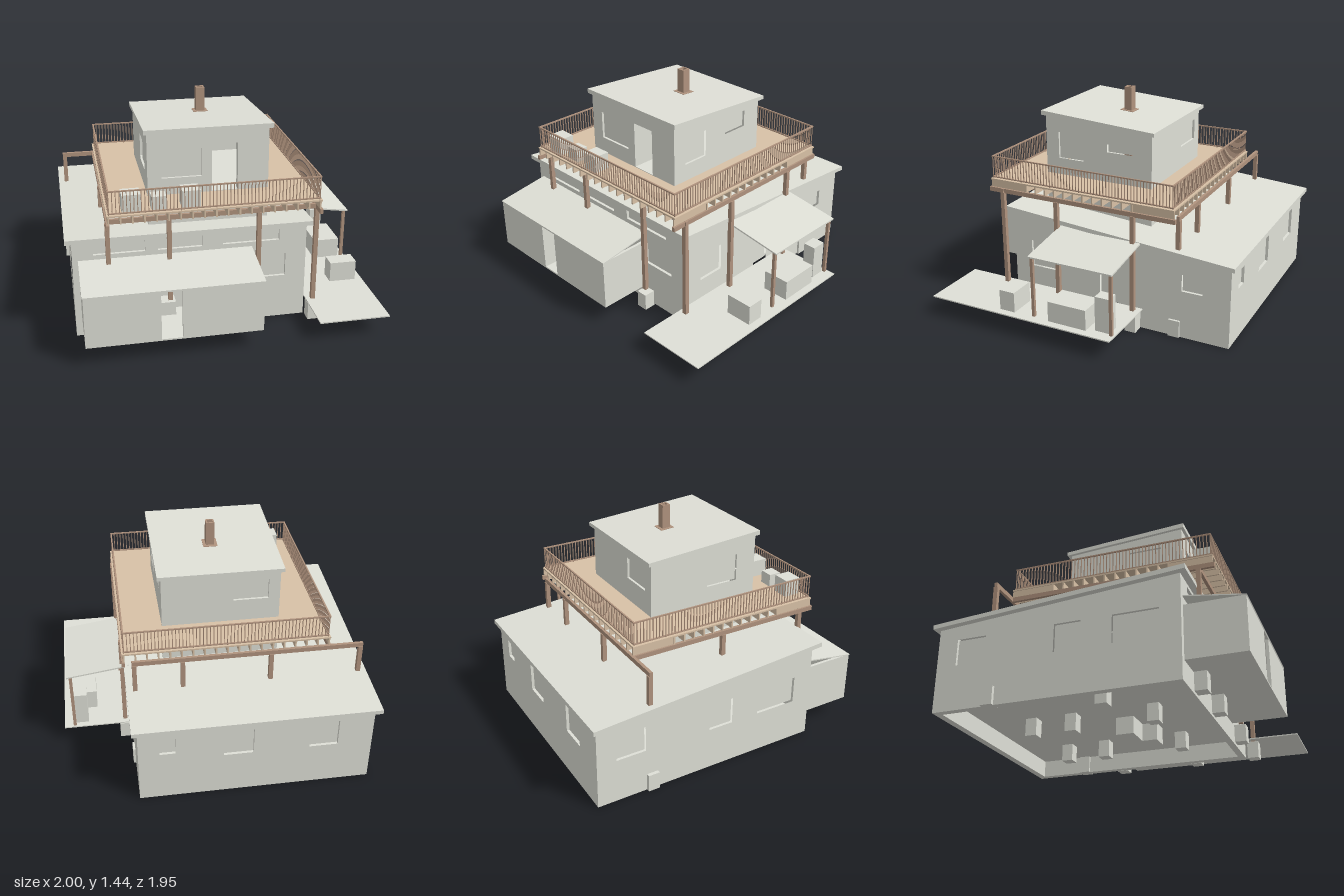
import * as THREE from 'three';

const grey = new THREE.MeshStandardMaterial({ color: 0xdedfd6 });
grey.name = 'pale plaster';
const wood = new THREE.MeshStandardMaterial({ color: 0xb0937e });
wood.name = 'brown timber';
const tan = new THREE.MeshStandardMaterial({ color: 0xd8c1a6 });
tan.name = 'deck boards';

// Box given by its minimum and maximum on each axis
function box(parent, name, mat, x0, x1, y0, y1, z0, z1) {
  const mesh = new THREE.Mesh(new THREE.BoxGeometry(x1 - x0, y1 - y0, z1 - z0), mat);
  mesh.position.set((x0 + x1) / 2, (y0 + y1) / 2, (z0 + z1) / 2);
  mesh.name = name;
  parent.add(mesh);
  return mesh;
}

function rectPath(x0, x1, y0, y1, Type = THREE.Path) {
  return new Type([[x0, y0], [x1, y0], [x1, y1], [x0, y1]].map(p => new THREE.Vector2(...p)));
}

// Profile extruded along z from 'at', or along x when side is true (points are then [z, y])
function slab(parent, name, mat, pts, at, depth, side = false, openings = []) {
  const s = side ? -1 : 1;
  const shape = new THREE.Shape(pts.map(([u, y]) => new THREE.Vector2(s * u, y)));
  for (const [u0, u1, y0, y1] of openings) shape.holes.push(rectPath(s * u0, s * u1, y0, y1));
  const mesh = new THREE.Mesh(new THREE.ExtrudeGeometry(shape, { depth, bevelEnabled: false }), mat);
  if (side) { mesh.rotation.y = Math.PI / 2; mesh.position.x = at; } else mesh.position.z = at;
  mesh.name = name;
  parent.add(mesh);
}

// Wall with cut openings; every opening not marked open gets a recessed pane
function wall(parent, name, pts, at, depth, side, openings = []) {
  slab(parent, name, grey, pts, at, depth, side, openings);
  const m = at + depth / 2;
  for (const [u0, u1, y0, y1, open] of openings) {
    if (open) continue;
    if (side) box(parent, name + 'Pane', grey, m - 0.004, m + 0.004, y0, y1, u0, u1);
    else box(parent, name + 'Pane', grey, u0, u1, y0, y1, m - 0.004, m + 0.004);
  }
}

// Four walls under a roof sloping from front to back
function house(parent, name, b, win) {
  const { x0, x1, z0, z1, y0, yBack, yFront, t } = b;
  const g = new THREE.Group();
  g.name = name;
  const flat = y => [[x0, y0], [x1, y0], [x1, y], [x0, y]];
  const gable = [[z0, y0], [z1, y0], [z1, yFront], [z0, yBack]];
  wall(g, 'frontWall', flat(yFront), z1 - t, t, false, win.front);
  wall(g, 'backWall', flat(yBack), z0, t, false, win.back);
  wall(g, 'rightWall', gable, x1 - t, t, true, win.right);
  wall(g, 'leftWall', gable, x0, t, true, win.left);
  parent.add(g);
  return g;
}

export function createModel() {
  const root = new THREE.Group();
  root.name = 'house';

  // Ground storey
  const low = house(root, 'groundStorey',
    { x0: -0.96, x1: 0.54, z0: -0.945, z1: 0.61, y0: 0, yBack: 0.542, yFront: 0.657, t: 0.045 }, {
      front: [[-0.83, -0.505, 0.56, 0.635], [-0.425, -0.14, 0.56, 0.635], [-0.01, 0.36, 0.56, 0.635], [0.17, 0.405, 0.3, 0.46]],
      back: [[0.305, 0.405, 0.355, 0.475], [-0.19, 0, 0.3, 0.49], [-0.735, -0.55, 0.3, 0.49]],
      right: [[0.29, 0.48, 0.275, 0.46], [-0.76, -0.62, 0.325, 0.44], [-0.175, -0.04, 0.135, 0.46]],
      left: [[-0.815, -0.62, 0.29, 0.46], [-0.17, 0, 0.28, 0.46], [0.195, 0.48, 0.28, 0.46]],
    });
  box(low, 'floor', grey, -0.92, 0.5, 0.115, 0.135, -0.905, 0.57);
  slab(low, 'roof', grey, [[-0.975, 0.54], [0.65, 0.66], [0.65, 0.69], [-0.975, 0.568]], -1, 1.575, true);

  // Upper storey, its door standing open
  const up = house(root, 'upperStorey',
    { x0: -0.465, x1: 0.31, z0: -0.3, z1: 0.48, y0: 0.6, yBack: 1.232, yFront: 1.28, t: 0.04 }, {
      front: [[-0.375, -0.12, 0.985, 1.17], [-0.055, 0.11, 0.88, 1.19, true]],
      back: [[-0.39, -0.16, 1.03, 1.17]],
      right: [[0.2, 0.385, 0.99, 1.17], [-0.165, 0.02, 1.08, 1.19]],
      left: [[0.115, 0.34, 0.99, 1.17]],
    });
  box(up, 'upperFloor', grey, -0.43, 0.275, 0.865, 0.878, -0.265, 0.445);
  box(up, 'upperDoor', grey, -0.063, -0.055, 0.88, 1.19, 0.275, 0.44);
  slab(up, 'upperRoof', grey, [[-0.325, 1.23], [0.5, 1.28], [0.5, 1.31], [-0.325, 1.255]], -0.485, 0.82, true);

  // Chimney with a hollow flue, flashing and foundation
  const flue = rectPath(-0.08, -0.025, -0.065, -0.01, THREE.Shape);
  flue.holes.push(rectPath(-0.07, -0.035, -0.055, -0.02));
  const chimney = new THREE.Mesh(new THREE.ExtrudeGeometry(flue, { depth: 1.305, bevelEnabled: false }), wood);
  chimney.rotation.x = -Math.PI / 2;
  chimney.position.y = 0.135;
  chimney.name = 'chimney';
  root.add(chimney);
  box(root, 'flueBase', wood, -0.071, -0.034, 1.39, 1.41, 0.019, 0.056);
  box(root, 'chimneyFlashing', wood, -0.1, -0.005, 1.27, 1.282, -0.01, 0.085).rotation.x = -0.067;
  box(root, 'chimneyFoundation', grey, -0.05, 0.07, 0, 0.115, -0.06, 0.16);
  box(root, 'chimneyFoundation', grey, -0.22, -0.05, 0, 0.115, -0.06, 0.06);

  // Front extension, hollow with an open door, an inner step and a lean-to roof
  const ext = new THREE.Group();
  ext.name = 'frontExtension';
  root.add(ext);
  const rect = (a, b) => [[a, 0.135], [b, 0.135], [b, 0.47], [a, 0.47]];
  wall(ext, 'extensionFront', rect(-0.92, 0.175), 0.955, 0.02, false, [[-0.46, -0.33, 0.14, 0.46, true]]);
  for (const x of [-0.92, 0.155]) wall(ext, 'extensionSide', rect(0.61, 0.955), x, 0.02, true);
  box(ext, 'extensionDoor', grey, -0.468, -0.46, 0.14, 0.46, 0.825, 0.955);
  box(ext, 'extensionFloor', grey, -0.92, 0.175, 0.13, 0.138, 0.61, 0.975);
  box(ext, 'extensionStep', grey, -0.46, -0.33, 0.135, 0.23, 0.61, 0.7);
  slab(ext, 'extensionRoof', grey, [[0.61, 0.522], [0.978, 0.466], [0.978, 0.473], [0.61, 0.53]], -0.925, 1.105, true);

  // Terrace beside the house with its awning and furniture
  const terrace = new THREE.Group();
  terrace.name = 'terrace';
  root.add(terrace);
  box(terrace, 'terraceSlab', grey, 0.54, 1, 0.13, 0.138, -0.35, 0.975);
  slab(terrace, 'awning', grey, [[0.54, 0.607], [0.955, 0.548], [0.955, 0.558], [0.54, 0.617]], -0.348, 0.59);
  for (const z of [-0.328, 0.225]) box(terrace, 'awningPost', wood, 0.92, 0.94, 0.135, 0.552, z - 0.01, z + 0.01);
  box(terrace, 'bench', grey, 0.77, 0.95, 0.138, 0.275, 0.36, 0.47);
  box(terrace, 'counter', grey, 0.77, 0.95, 0.138, 0.275, -0.16, 0.11);
  box(terrace, 'cabinet', grey, 0.835, 0.92, 0.138, 0.37, -0.31, -0.21);

  // Foundation piers
  const piers = [[-0.74, 0.66], [-0.36, 0.66], [0.21, 0.66], [0.585, 0.66], [-0.36, 0.25], [0.21, 0.25], [0.585, 0.25],
    [-0.36, -0.3], [0.21, -0.3], [0.585, -0.3], [-0.945, -0.575], [-0.36, -0.575], [0.21, -0.575], [0.517, -0.575], [-0.74, 0.06]];
  for (const [x, z] of piers) box(root, 'pier', grey, x - 0.038, x + 0.038, 0, 0.115, z - 0.038, z + 0.038);

  // Deck posts, standing on the piers or on the roof
  const deck = new THREE.Group();
  deck.name = 'balconyDeck';
  root.add(deck);
  const posts = [[-0.74, 0.66, 0.135], [-0.36, 0.66, 0.135], [0.21, 0.66, 0.135], [0.585, 0.66, 0.115],
    [0.585, 0.25, 0.135], [0.585, -0.3, 0.135], [-0.74, 0.06, 0.62],
    [-0.945, -0.583, 0.58], [-0.36, -0.583, 0.58], [0.21, -0.583, 0.58], [0.517, -0.583, 0.58]];
  for (const [x, z, y] of posts) box(deck, 'deckPost', wood, x - 0.014, x + 0.014, y, 0.79, z - 0.014, z + 0.014);

  // Beams and joists
  box(deck, 'frontBeam', wood, -0.74, 0.6, 0.788, 0.818, 0.65, 0.67);
  box(deck, 'backBeam', wood, -0.96, 0.532, 0.788, 0.818, -0.592, -0.572);
  for (const x of [-0.74, 0.583]) box(deck, 'sideBeam', wood, x - 0.01, x + 0.01, 0.787, 0.817, -0.59, 0.76);
  for (let i = 0; i <= 18; i++) {
    const x = -0.735 + i * 0.0729;
    box(deck, 'frontJoist', tan, x - 0.005, x + 0.005, 0.818, 0.866, 0.48, 0.75);
    box(deck, 'backJoist', tan, x - 0.005, x + 0.005, 0.818, 0.866, -0.58, -0.3);
  }
  for (let i = 0; i <= 11; i++) {
    const z = -0.295 + i * 0.07;
    box(deck, 'leftJoist', tan, -0.745, -0.465, 0.818, 0.866, z - 0.005, z + 0.005);
    box(deck, 'rightJoist', tan, 0.31, 0.59, 0.818, 0.866, z - 0.005, z + 0.005);
  }

  // Walkway around the upper storey
  box(deck, 'frontBoards', tan, -0.745, 0.59, 0.866, 0.876, 0.48, 0.75);
  box(deck, 'backBoards', tan, -0.745, 0.59, 0.866, 0.876, -0.58, -0.3);
  box(deck, 'leftBoards', tan, -0.745, -0.465, 0.866, 0.876, -0.3, 0.48);
  box(deck, 'rightBoards', tan, 0.31, 0.59, 0.866, 0.876, -0.3, 0.48);

  // Railing: two slim rails and close balusters on each side
  const railing = new THREE.Group();
  railing.name = 'railing';
  root.add(railing);
  const X = [-0.73, 0.575], Z = [-0.566, 0.737], r = 0.005, b = 0.0025;
  for (const [y0, y1] of [[0.882, 0.889], [1.023, 1.031]]) {
    for (const z of Z) box(railing, 'rail', wood, X[0] - r, X[1] + r, y0, y1, z - r, z + r);
    for (const x of X) box(railing, 'rail', wood, x - r, x + r, y0, y1, Z[0], Z[1]);
  }
  const n = 60;
  for (let i = 0; i <= n; i++) {
    const x = X[0] + (X[1] - X[0]) * i / n, z = Z[0] + (Z[1] - Z[0]) * i / n;
    const foot = i % 10 ? 0.885 : 0.875;
    for (const k of Z) box(railing, 'baluster', wood, x - b, x + b, foot, 1.025, k - b, k + b);
    for (const k of X) box(railing, 'baluster', wood, k - b, k + b, foot, 1.025, z - b, z + b);
  }

  // Deck furniture
  box(root, 'deckChair', grey, -0.65, -0.535, 0.876, 0.99, 0.61, 0.72);
  box(root, 'deckTable', grey, -0.47, -0.378, 0.876, 0.96, 0.618, 0.702);
  box(root, 'deckChair', grey, -0.285, -0.172, 0.876, 0.99, 0.61, 0.72);
  return root;
}
